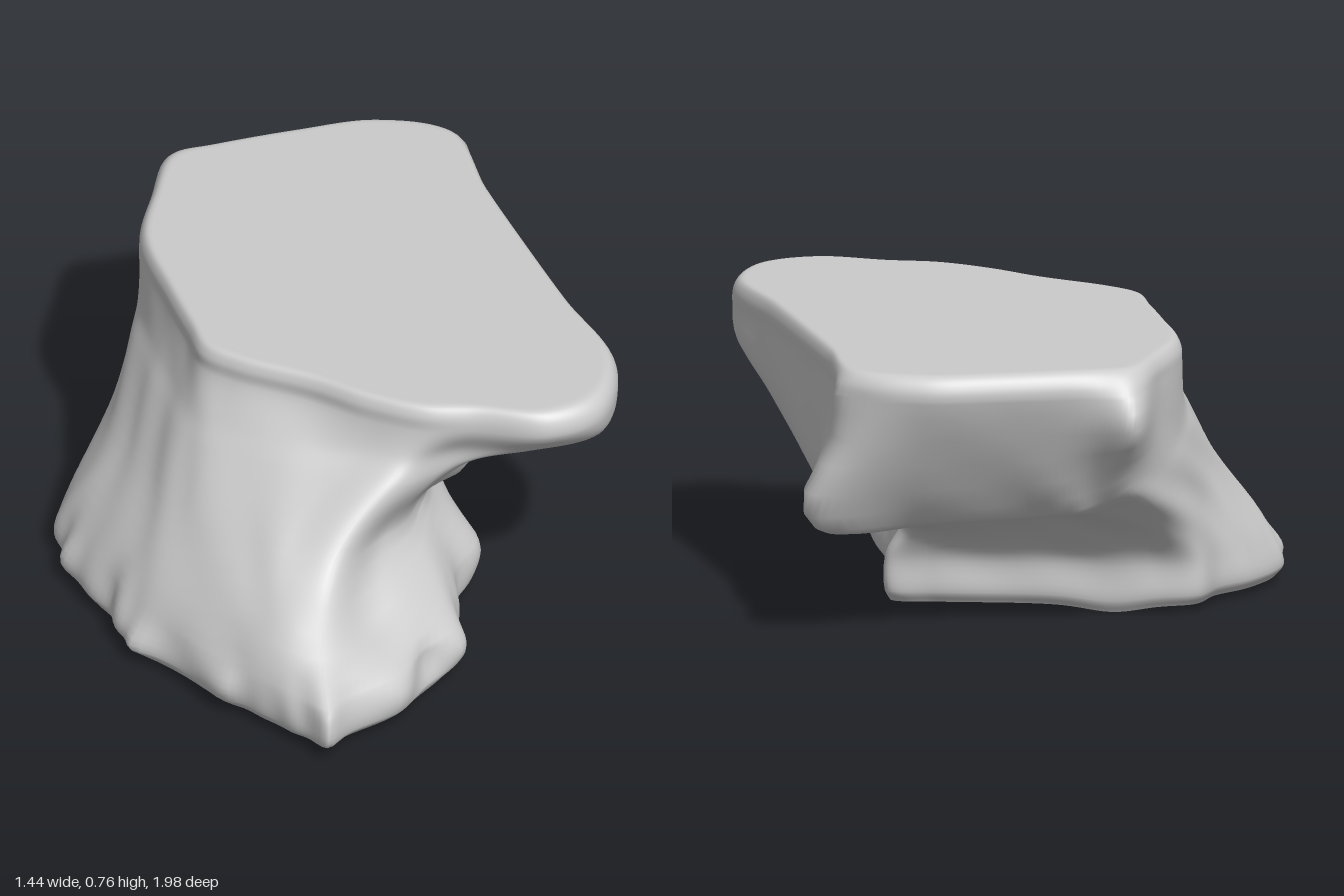
import * as THREE from 'three';

// Outlines run from the foot tip round by +x, the back and -x; matching entries share a column.
const BASE = [ // x, z
  [-.28, .92], [-.04, .85], [.17, .66], [.24, .45], [.33, .25], [.34, 0], [.37, -.2],
  [.42, -.36], [.3, -.4], [.1, -.45], [-.1, -.51], [-.27, -.55], [-.4, -.56], [-.48, -.46],
  [-.58, -.39], [-.68, -.26], [-.7, -.08], [-.67, .17], [-.63, .36], [-.47, .66], [-.37, .82]];
const WAIST = [ // x, y, z
  [-.15, .39, .62], [.02, .36, .49], [.14, .35, .38], [.22, .38, .25], [.27, .38, .12], [.29, .34, 0], [.33, .28, -.2],
  [.38, .24, -.4], [.34, .235, -.46], [.12, .235, -.53], [-.05, .235, -.58], [-.22, .24, -.62], [-.35, .25, -.62], [-.42, .3, -.51],
  [-.48, .35, -.39], [-.51, .36, -.2], [-.515, .36, -.05], [-.51, .36, .12], [-.47, .37, .26], [-.35, .4, .43], [-.27, .4, .54]];
const LIP = [ // x, y, z
  [.08, .61, .5], [.22, .61, .5], [.42, .615, .56], [.61, .615, .54], [.7, .605, .36], [.66, .51, .1], [.635, .42, -.2],
  [.62, .36, -.5], [.64, .31, -.71], [.4, .32, -.72], [.1, .33, -.74], [-.05, .36, -.79], [-.17, .43, -.84], [-.31, .5, -.67],
  [-.38, .56, -.48], [-.395, .58, -.24], [-.395, .58, -.07], [-.39, .58, .07], [-.33, .59, .16], [-.18, .6, .3], [-.04, .6, .41]];
const TOP = [ // x, z
  [.13, .5], [.27, .55], [.45, .63], [.61, .59], [.71, .4], [.67, .1], [.64, -.2],
  [.615, -.5], [.6, -.8], [.42, -.91], [.2, -.925], [-.05, -.92], [-.17, -.9], [-.27, -.74],
  [-.36, -.54], [-.365, -.28], [-.36, -.1], [-.355, .03], [-.29, .12], [-.12, .27], [0, .4]];

// Soft swellings and dents: centre, push, radius
const BUMPS = [
  [[-.16, .6, -.93], [0, 0, -.105], .1],     // rear horn
  [[.64, .39, -.74], [.06, 0, 0], .11],      // rear side knob
  [[.64, .68, -.78], [.03, 0, .01], .06],
  [[.27, .44, .3], [.04, 0, .06], .075],     // knob under the overhang
  [[-.29, .06, .92], [0, 0, .055], .055],    // toes
  [[-.29, .14, .91], [0, .01, .06], .06],
  [[-.05, .1, .84], [.02, 0, .03], .07],
  [[.06, .1, .76], [-.02, 0, -.045], .06],
  [[.17, .1, .66], [.03, 0, .03], .07],
  [[.32, .12, .25], [.03, 0, .02], .08],
  [[-.64, .06, .36], [-.03, 0, .01], .05],
  [[-.46, .09, .66], [-.02, 0, .02], .06],
  [[-.71, .07, -.08], [-.02, 0, 0], .06],
  [[-.33, .21, .7], [-.01, .02, .03], .1],   // instep
  [[-.08, .25, .68], [-.01, -.03, -.02], .1],
  [[-.18, .02, -.49], [0, -.02, 0], .1]      // heel
].map(([c, d, r]) => [new THREE.Vector3(...c), new THREE.Vector3(...d), r]);

const SEGMENTS = 210;
const STEPS = 54;
const TOP_Y = .765;

const ring = (points) => new THREE.CatmullRomCurve3(points, true, 'centripetal');
const level = (outline, y, inset = 0, cx = 0, cz = 0) => outline.map(([x, z]) =>
  new THREE.Vector3(x + (cx - x) * inset, y, z + (cz - z) * inset));
const solid = (outline) => outline.map((p) => new THREE.Vector3(...p));

// Lumpy toes on the front of the foot, shallow ripples higher up, then the swellings
function weather(p, u) {
  const a = u * Math.PI * 2;
  const foot = Math.exp(-(((p.y - .09) / .08) ** 2)) * THREE.MathUtils.smoothstep(p.z, -.4, -.05);
  const side = Math.max(0, 1 - Math.abs(p.y - .35) / .35);
  const toes = Math.sin(a * 17) * .6 + Math.sin(a * 29 + 1 + p.y * 8) * .4;
  const out = .014 * foot * toes
    + .008 * side * Math.sin(a * 11 + p.y * 9) * Math.sin(a * 5 + p.y * 14);
  const len = Math.hypot(p.x, p.z) || 1;
  p.x += p.x / len * out;
  p.z += p.z / len * out;
  const move = new THREE.Vector3();
  for (const [c, d, r] of BUMPS) move.addScaledVector(d, Math.exp(-p.distanceToSquared(c) / (r * r)));
  return p.add(move);
}

function makeMesh(name, positions, index) {
  const geometry = new THREE.BufferGeometry();
  geometry.setAttribute('position', new THREE.Float32BufferAttribute(positions, 3));
  geometry.setIndex(index);
  geometry.computeVertexNormals();
  const mesh = new THREE.Mesh(geometry, new THREE.MeshStandardMaterial({ color: 0xcccccc }));
  mesh.name = name;
  return mesh;
}

// Flat fan closing an edge loop
function makeCap(name, edge, centre, up) {
  const positions = [...centre];
  const index = [];
  edge.forEach((p, i) => {
    positions.push(p.x, p.y, p.z);
    const a = i + 1, b = (i + 1) % edge.length + 1;
    index.push(0, ...(up ? [a, b] : [b, a]));
  });
  return makeMesh(name, positions, index);
}

export function createModel() {
  const group = new THREE.Group();
  group.name = 'rockOutcrop';

  // Top edge of the foot, and the underside just below the lip (flatter where it overhangs)
  const waist = solid(WAIST), lip = solid(LIP);
  const shoulder = level(BASE, .15).map((p, i) =>
    p.lerp(new THREE.Vector3(waist[i].x, .17, waist[i].z), i > 13 && i < 19 ? .2 : .07));
  const underside = lip.map((p, i) => {
    const overhang = i > 1 && i < 11;
    const q = p.clone().lerp(waist[i], overhang ? .5 : .3);
    q.y = THREE.MathUtils.lerp(p.y, waist[i].y, overhang ? .22 : .3);
    return q;
  });
  const rings = [
    level(BASE, .02, .03, -.1, .1), level(BASE, .05), shoulder, waist, underside, lip,
    level(TOP, .69), level(TOP, .735, .005, .15, -.15), level(TOP, TOP_Y - .003, .035, .15, -.15),
    level(TOP, TOP_Y, .12, .15, -.15)
  ].map(ring);

  // Rock sides: a smooth upright profile at every step round the outlines
  const positions = [], index = [], bottom = [], top = [];
  for (let i = 0; i < SEGMENTS; i++) {
    const u = i / SEGMENTS;
    const profile = new THREE.CatmullRomCurve3(rings.map((r) => r.getPoint(u)), false, 'centripetal');
    for (let j = 0; j <= STEPS; j++) {
      const p = weather(profile.getPoint(j / STEPS), u);
      p.y = Math.min(p.y, TOP_Y);
      positions.push(p.x, p.y, p.z);
      if (j === 0) bottom.push(p);
      if (j === STEPS) top.push(p);
      if (j < STEPS) {
        const a = i * (STEPS + 1) + j, b = ((i + 1) % SEGMENTS) * (STEPS + 1) + j;
        index.push(a, b, b + 1, a, b + 1, a + 1);
      }
    }
  }
  group.add(makeMesh('rockSides', positions, index));

  // Level top and underside
  group.add(makeCap('flatTop', top, [.15, TOP_Y, -.15], true));
  group.add(makeCap('footUnderside', bottom, [-.1, .02, .05], false));
  return group;
}
